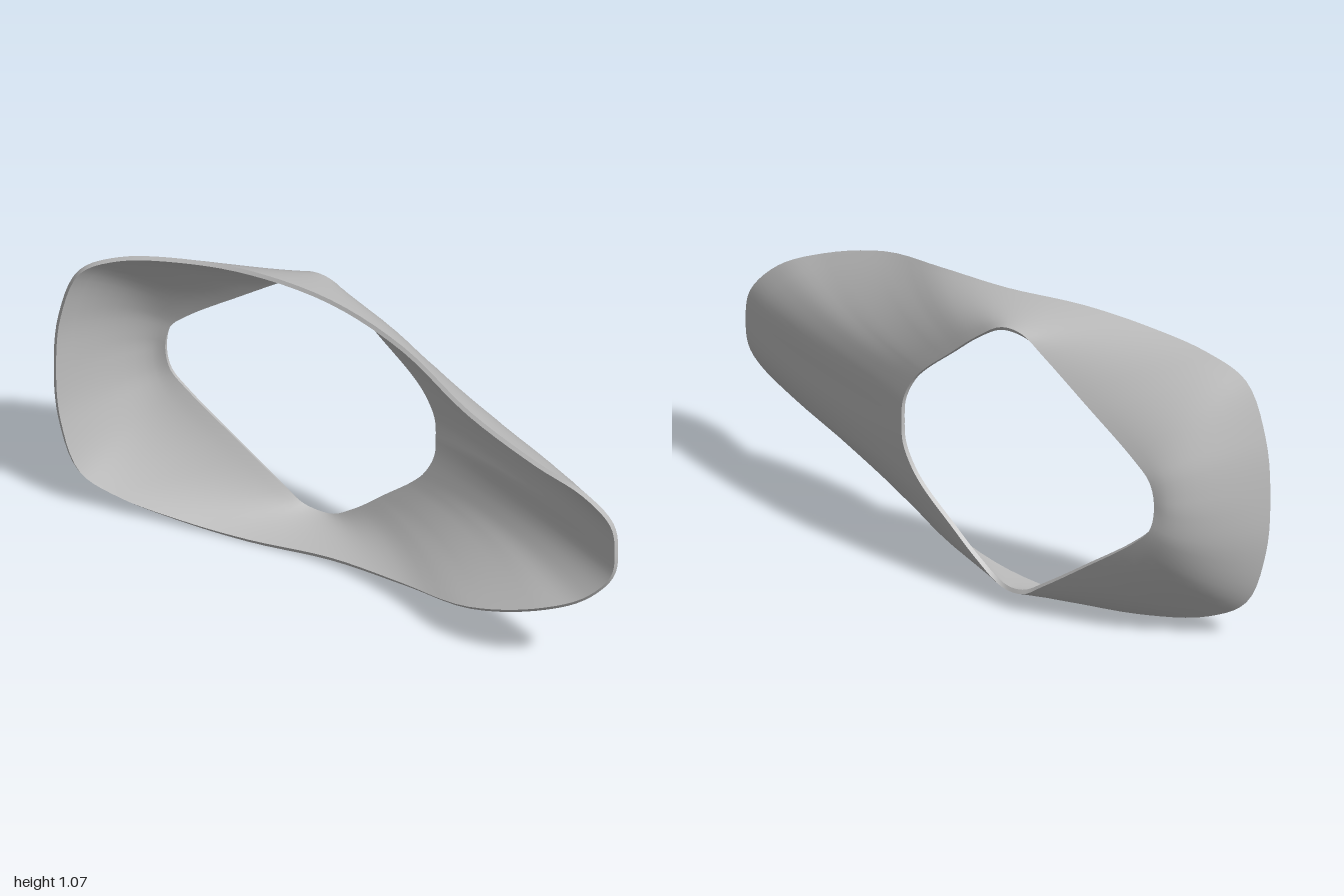
import * as THREE from 'three';

const MID = 0.534, THICK = 0.014, SEG = 120, RINGS = 10;

// Upper half, front to back: opening z, y, x | outer edge z, y, x | outward bulge between them
const HALF = [
  [0.19, 0.534, 0.205, 1, 0.534, 0.04, 0.02],
  [0.185, 0.61, 0.204, 0.985, 0.64, 0.035, 0.025],
  [0.15, 0.69, 0.2, 0.9, 0.745, 0, 0.035],
  [0.1, 0.75, 0.197, 0.75, 0.825, -0.045, 0.045],
  [0, 0.84, 0.188, 0.5, 0.92, -0.057, 0.045],
  [-0.1, 0.93, 0.177, 0.2, 1.0, 0.008, 0.025],
  [-0.2, 0.998, 0.167, -0.1, 1.045, 0.028, 0.005],
  [-0.28, 0.998, 0.16, -0.38, 1.067, -0.02, 0],
  [-0.36, 0.945, 0.15, -0.6, 1.05, -0.075, 0.01],
  [-0.52, 0.825, 0.13, -0.8, 1.005, -0.135, 0.02],
  [-0.7, 0.685, 0.105, -0.92, 0.93, -0.18, 0.04],
  [-0.76, 0.62, 0.095, -0.985, 0.74, -0.2, 0.06],
  [-0.775, 0.534, 0.09, -1, 0.534, -0.205, 0.07],
];

// Closed smooth loop through the half profile and its mirror image
function loop(pick) {
  const mirrored = HALF.slice(1, -1).reverse().map((r) => {
    const m = [...r];
    m[1] = 2 * MID - r[1];
    m[4] = 2 * MID - r[4];
    return m;
  });
  const curve = new THREE.CatmullRomCurve3([...HALF, ...mirrored].map(pick), true);
  return Array.from({ length: SEG }, (_, j) => curve.getPoint(j / SEG));
}

// Surface joining a list of closed loops; flip turns it to face the other way
function loft(rings, flip) {
  const index = [];
  for (let i = 0; i < rings.length - 1; i++) {
    for (let j = 0; j < SEG; j++) {
      const k = (j + 1) % SEG;
      const a = i * SEG + j, b = i * SEG + k, c = a + SEG, d = b + SEG;
      if (flip) index.push(a, c, d, a, d, b);
      else index.push(a, d, c, a, b, d);
    }
  }
  const geo = new THREE.BufferGeometry().setFromPoints(rings.flat());
  geo.setIndex(index);
  geo.computeVertexNormals();
  return geo;
}

export function createModel() {
  const group = new THREE.Group();
  group.name = 'curvedShell';
  const grey = new THREE.MeshStandardMaterial({ color: 0xc0c0c0 });
  grey.name = 'plain grey';
  const add = (name, geo) => {
    const mesh = new THREE.Mesh(geo, grey);
    mesh.name = name;
    group.add(mesh);
  };

  const opening = loop((r) => new THREE.Vector3(r[2], r[1], r[0]));
  const edge = loop((r) => new THREE.Vector3(r[5], r[4], r[3]));
  const bulge = HALF.map((r) => r[6]);
  const last = bulge.length - 1;

  // Bulge at loop position j, mirrored like the loops
  const bulgeAt = (j) => {
    const p = (1 - Math.abs(1 - (2 * j) / SEG)) * last;
    const i = Math.min(Math.floor(p), last - 1);
    return THREE.MathUtils.lerp(bulge[i], bulge[i + 1], p - i);
  };

  // Outside face, from the opening to the outer edge
  const outside = [];
  for (let i = 0; i <= RINGS; i++) {
    const s = i / RINGS;
    outside.push(opening.map((p, j) => {
      const v = p.clone().lerp(edge[j], s);
      v.x += bulgeAt(j) * 4 * s * (1 - s);
      return v;
    }));
  }
  const outerGeo = loft(outside, false);
  add('outerFace', outerGeo);

  // Inside face, offset by the wall thickness
  const normals = outerGeo.attributes.normal;
  const inside = outside.map((ring, i) => ring.map((p, j) => {
    const n = new THREE.Vector3().fromBufferAttribute(normals, i * SEG + j);
    return p.clone().addScaledVector(n, -THICK);
  }));
  add('innerFace', loft(inside, true));

  // Narrow walls closing the two edges
  add('openingRim', loft([outside[0], inside[0]], true));
  add('outerRim', loft([outside[RINGS], inside[RINGS]], false));
  return group;
}
